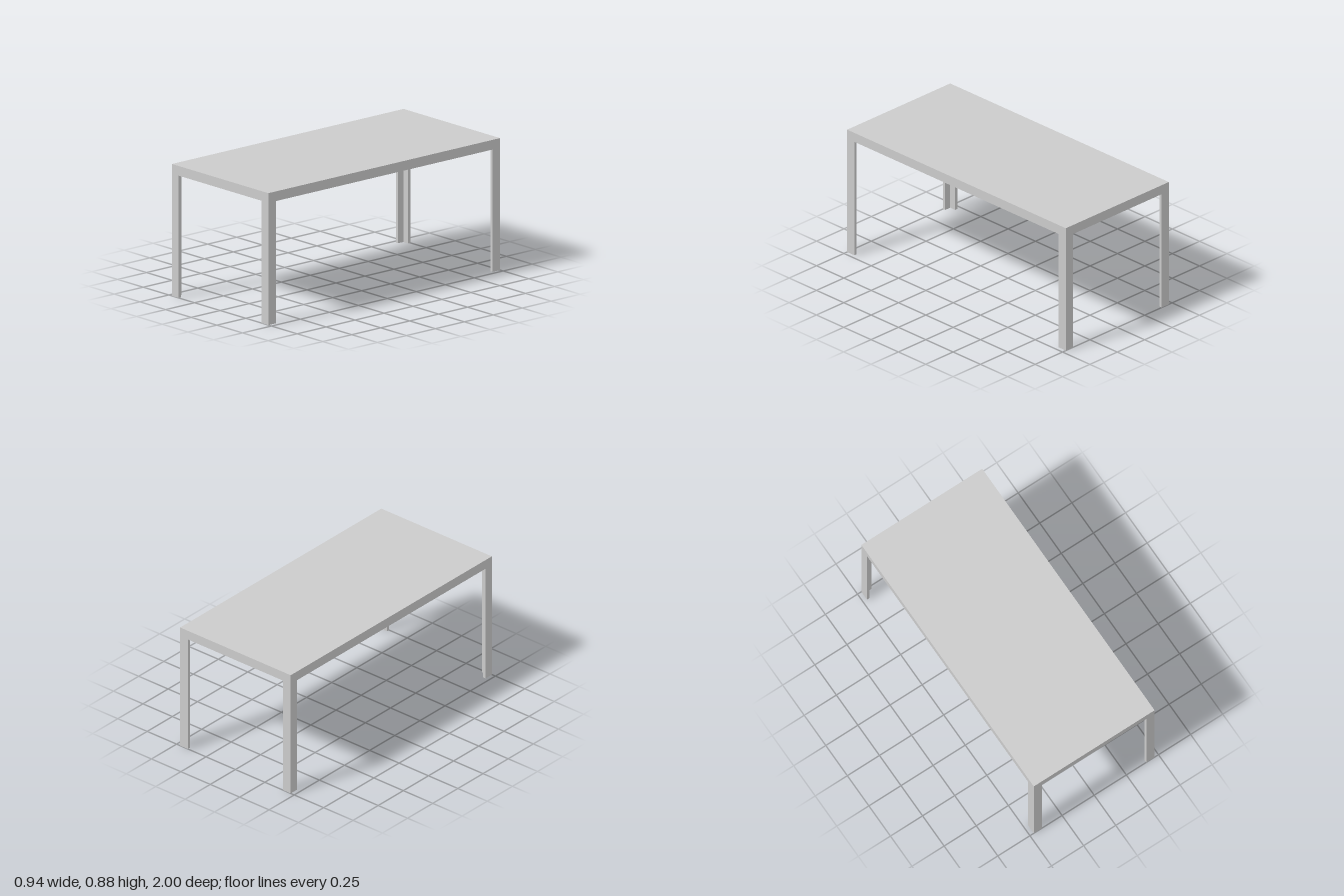
import * as THREE from 'three';

const W = 0.94, L = 2, H = 0.885; // overall size
const S = 0.065;                  // leg and rail section
const T = 0.02;                   // wall thickness

export function createModel() {
  const table = new THREE.Group();
  table.name = 'table';
  const mat = new THREE.MeshStandardMaterial({ color: 0xcccccc });

  const add = (name, geometry, x, y, z) => {
    const mesh = new THREE.Mesh(geometry, mat);
    mesh.name = name;
    mesh.position.set(x, y, z);
    table.add(mesh);
  };

  // Outline given in plan for the +x +z corner, mirrored to any corner and extruded upwards
  const cornerPrism = (points, sx, sz, height) => {
    const shape = new THREE.Shape(points.map(([x, z]) => new THREE.Vector2(x * sx, -z * sz)));
    return new THREE.ExtrudeGeometry(shape, { depth: height, bevelEnabled: false }).rotateX(-Math.PI / 2);
  };

  // Top panel, flush with the frame
  add('tableTop', new THREE.BoxGeometry(W, T, L), 0, H - T / 2, 0);

  // Side and end rails
  const railY = H - T - (S - T) / 2;
  for (const s of [-1, 1]) {
    add('sideRail', new THREE.BoxGeometry(T, S - T, L - 2 * S), s * (W - T) / 2, railY, 0);
    add('endRail', new THREE.BoxGeometry(W - 2 * S, S - T, T), 0, railY, s * (L - T) / 2);
  }

  // Lengthwise beam under the middle of the top
  add('centreBeam', new THREE.BoxGeometry(0.05, 0.04, L - 2 * T), 0, H - T - 0.02, 0);

  // Angle-section legs with clipped corner brackets
  const legPlan = [[0, 0], [-S, 0], [-S, -T], [-T, -T], [-T, -S], [0, -S]];
  const B = 0.14, C = 0.07;
  const bracketPlan = [[-T, -T], [-B, -T], [-B, -C], [-C, -B], [-T, -B]];
  for (const sx of [-1, 1]) for (const sz of [-1, 1]) {
    add('leg', cornerPrism(legPlan, sx, sz, H - T), sx * W / 2, 0, sz * L / 2);
    add('cornerBracket', cornerPrism(bracketPlan, sx, sz, 0.035), sx * W / 2, H - T - 0.035, sz * L / 2);
  }
  return table;
}
